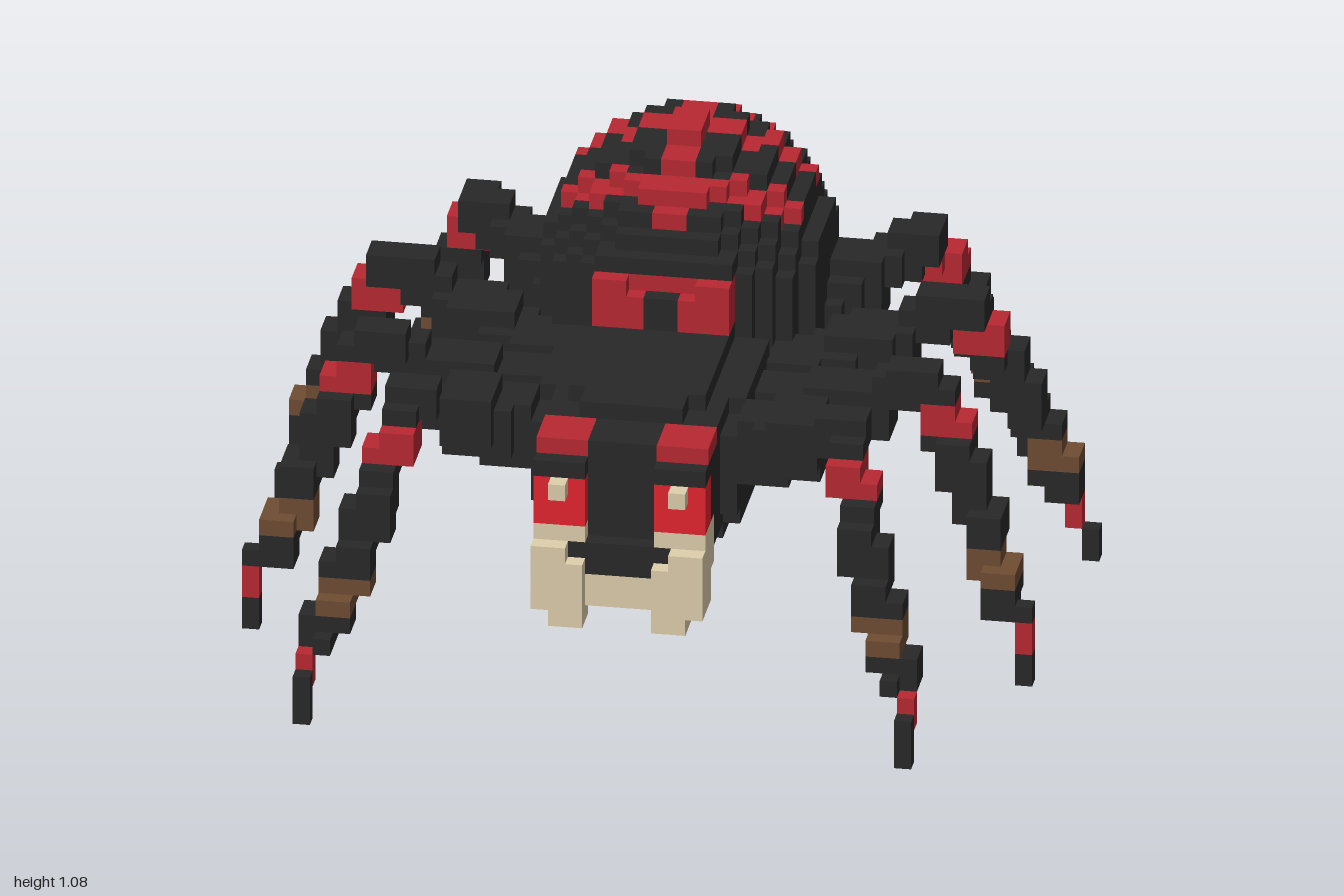
import * as THREE from 'three';
import { mergeGeometries } from 'three/addons/utils/BufferGeometryUtils.js';

const V = 1 / 24; // edge of one cube

export function createModel() {
  const material = (name, color) => {
    const m = new THREE.MeshStandardMaterial({ color });
    m.name = name;
    return m;
  };
  const colours = {
    black: material('black', 0x282828),
    red: material('dark red', 0xb82832),
    eyeRed: material('bright red', 0xe4242e),
    bone: material('bone', 0xdfcfac),
    brown: material('brown', 0x704c33),
  };

  // All cubes share one grid, so hidden faces between parts are left out.
  const grid = new Map();
  const key = (x, y, z) => `${x},${y},${z}`;
  const put = (part, colour, x, y, z, over = true) => {
    const k = key(x, y, z);
    if (over || !grid.has(k)) grid.set(k, { part, colour, x, y, z });
  };
  // Fill a box from its lower to its upper corner, in cubes
  const box = (part, colour, x0, x1, y0, y1, z0, z1) => {
    for (let x = x0; x < x1; x++)
      for (let y = y0; y < y1; y++)
        for (let z = z0; z < z1; z++) put(part, colour, x, y, z);
  };
  const pair = (part, colour, x0, x1, ...rest) => {
    box(part, colour, x0, x1, ...rest);
    box(part, colour, -x1, -x0, ...rest);
  };

  // Abdomen: egg shape, fuller below, with chevrons and a centre stripe
  const abdomenColour = (x, y, z) => {
    const ax = Math.abs(x);
    const chevron = (apex, slope) => Math.abs(z - (apex - slope * ax)) < 0.95;
    if (z > -1 && y > 17 && y < 20) return ax < 4 && !(ax < 1 && y < 19) ? 'red' : 'black';
    if (y > 21 && (chevron(-8, 0.4) || chevron(-2.4, 0.42))) return 'red';
    if (y > 17 && ax > 4 && ax < 6.5 && chevron(-12.8, 0.38)) return 'red';
    if (y > 21.5 && ax < 1 && z > -13) return 'red';
    if (y > 20 && ax < 2 && z > -15 && z < -13) return 'red';
    if (y > 20 && ax > 2 && ax < 4 && z > -14 && z < -12) return 'red';
    return 'black';
  };
  for (let x = -9; x < 9; x++)
    for (let y = 8; y < 26; y++)
      for (let z = -18; z < 2; z++) {
        const [cx, cy, cz] = [x + 0.5, y + 0.5, z + 0.5];
        const dy = (cy - 16.5) / 8.8;
        const rise = dy < 0 ? Math.abs(dy) ** 3 : dy * dy;
        if ((cx / 8.3) ** 2 + rise + ((cz + 8) / 10) ** 2 < 1)
          put('abdomen', abdomenColour(cx, cy, cz), x, y, z);
      }
  box('abdomen', 'red', -1, 1, 25, 26, -9, -6);
  box('abdomen', 'black', -4, 4, 20, 21, -1, 1);
  pair('abdomen', 'red', 2, 4, 17, 20, 0, 2);

  // Thorax: flattened block with rounded corners
  for (let x = -7; x < 7; x++)
    for (let y = 7; y < 17; y++)
      for (let z = -4; z < 13; z++) {
        const d = Math.abs((x + 0.5) / 6.3) ** 3 + Math.abs((y - 11.7) / 5) ** 3 + ((z - 3.5) / 9) ** 4;
        if (d < 1) put('thorax', 'black', x, y, z, false);
      }

  // Head, brows and eyes, with the middle of the face set back
  box('head', 'black', -5, 5, 9, 15, 8, 15);
  pair('head', 'black', 2, 5, 9, 15, 15, 16);
  box('head', 'black', -5, 5, 15, 16, 8, 15);
  box('head', 'black', -4, 4, 8, 9, 8, 15);
  box('head', 'black', -3, 3, 16, 17, 8, 12);
  pair('brows', 'red', 2, 5, 15, 16, 12, 15);
  pair('eyes', 'eyeRed', 2, 5, 11, 14, 14, 16);
  pair('pupils', 'bone', 3, 4, 13, 14, 15, 17);

  // Jaw, fangs and mouth
  box('jaw', 'bone', -2, 2, 6, 8, 14, 16);
  pair('fangs', 'bone', 2, 5, 8, 11, 13, 16);
  pair('fangs', 'bone', 2, 5, 6, 9, 14, 17);
  pair('fangs', 'bone', 3, 5, 9, 10, 16, 17);
  pair('fangs', 'bone', 2, 4, 5, 6, 15, 17);
  box('mouth', 'black', -3, 3, 9, 10, 15, 16);
  box('mouth', 'black', -2, 2, 8, 9, 15, 16);

  // Legs: centre lines from hip over knee to foot, in cubes
  const legs = {
    frontLeg: [[5, 13, 8], [9, 14.7, 10.5], [12.5, 17, 13], [13.3, 15, 14.6], [14.5, 11, 17], [15.8, 7, 18.2], [17.2, 3.5, 20.5], [17.5, 0.5, 21.5]],
    frontMiddleLeg: [[6, 13, 3], [11, 14.3, 4.2], [16.3, 17, 5.8], [17, 15, 6], [18.4, 12, 6.6], [20.3, 7, 8], [22.5, 3.5, 9.4], [22.5, 0.5, 9.5]],
    rearMiddleLeg: [[7, 13, -1], [11, 14.3, -2.8], [16.3, 17, -4.3], [17.4, 15, -5], [19, 12, -6], [21, 7, -7], [22.4, 3.5, -7.5], [23.5, 0.5, -7.5]],
    rearLeg: [[6, 13, -8], [9, 14.7, -10.3], [12.5, 17, -12.4], [13.6, 15, -13.8], [14.7, 11, -16], [16, 7, -17.8], [17.3, 3, -21], [17.5, 0.5, -20.5]],
  };
  const thickness = [3, 2.7, 2, 2, 2, 2, 1, 1];
  for (const [name, points] of Object.entries(legs)) {
    for (let i = 0; i < points.length - 1; i++)
      for (let s = 0; s <= 12; s++) {
        const t = s / 12;
        const c = points[i].map((a, j) => a + (points[i + 1][j] - a) * t);
        const n = Math.round(thickness[i] + (thickness[i + 1] - thickness[i]) * t);
        const [x0, y0, z0] = c.map((a) => Math.round(a - n / 2));
        for (let x = x0; x < x0 + n; x++)
          for (let y = Math.max(0, y0); y < y0 + n; y++)
            for (let z = z0; z < z0 + n; z++) {
              let colour = 'black';
              if (i > 1 && y >= 14 && y < 16) colour = 'red';
              if (i > 3 && y >= 6 && y < 8) colour = 'brown';
              if ((i === 5 || (i === 6 && t < 0.4)) && y >= 2 && y < 4) colour = 'red';
              put(name + 'Left', colour, x, y, z, false);
              put(name + 'Right', colour, -1 - x, y, z, false);
            }
      }
  }

  // One face template for each direction
  const faces = [
    [[0, 0, 1], 0, 0], [[0, 0, -1], 0, Math.PI],
    [[1, 0, 0], 0, Math.PI / 2], [[-1, 0, 0], 0, -Math.PI / 2],
    [[0, 1, 0], -Math.PI / 2, 0], [[0, -1, 0], Math.PI / 2, 0],
  ].map(([dir, rx, ry]) => ({
    dir,
    plane: new THREE.PlaneGeometry(V, V).rotateX(rx).rotateY(ry)
      .translate(dir[0] * V / 2, dir[1] * V / 2, dir[2] * V / 2),
  }));

  // Gather the open faces by part and colour
  const parts = {};
  for (const { part, colour, x, y, z } of grid.values())
    for (const { dir, plane } of faces) {
      if (grid.has(key(x + dir[0], y + dir[1], z + dir[2]))) continue;
      const list = ((parts[part] ??= {})[colour] ??= []);
      list.push(plane.clone().translate((x + 0.5) * V, (y + 0.5) * V, (z + 0.5) * V));
    }

  const spider = new THREE.Group();
  spider.name = 'spider';
  for (const [part, byColour] of Object.entries(parts)) {
    const group = new THREE.Group();
    group.name = part;
    for (const [colour, list] of Object.entries(byColour)) {
      const mesh = new THREE.Mesh(mergeGeometries(list), colours[colour]);
      mesh.name = `${part} ${colours[colour].name}`;
      group.add(mesh);
    }
    spider.add(group);
  }
  return spider;
}
